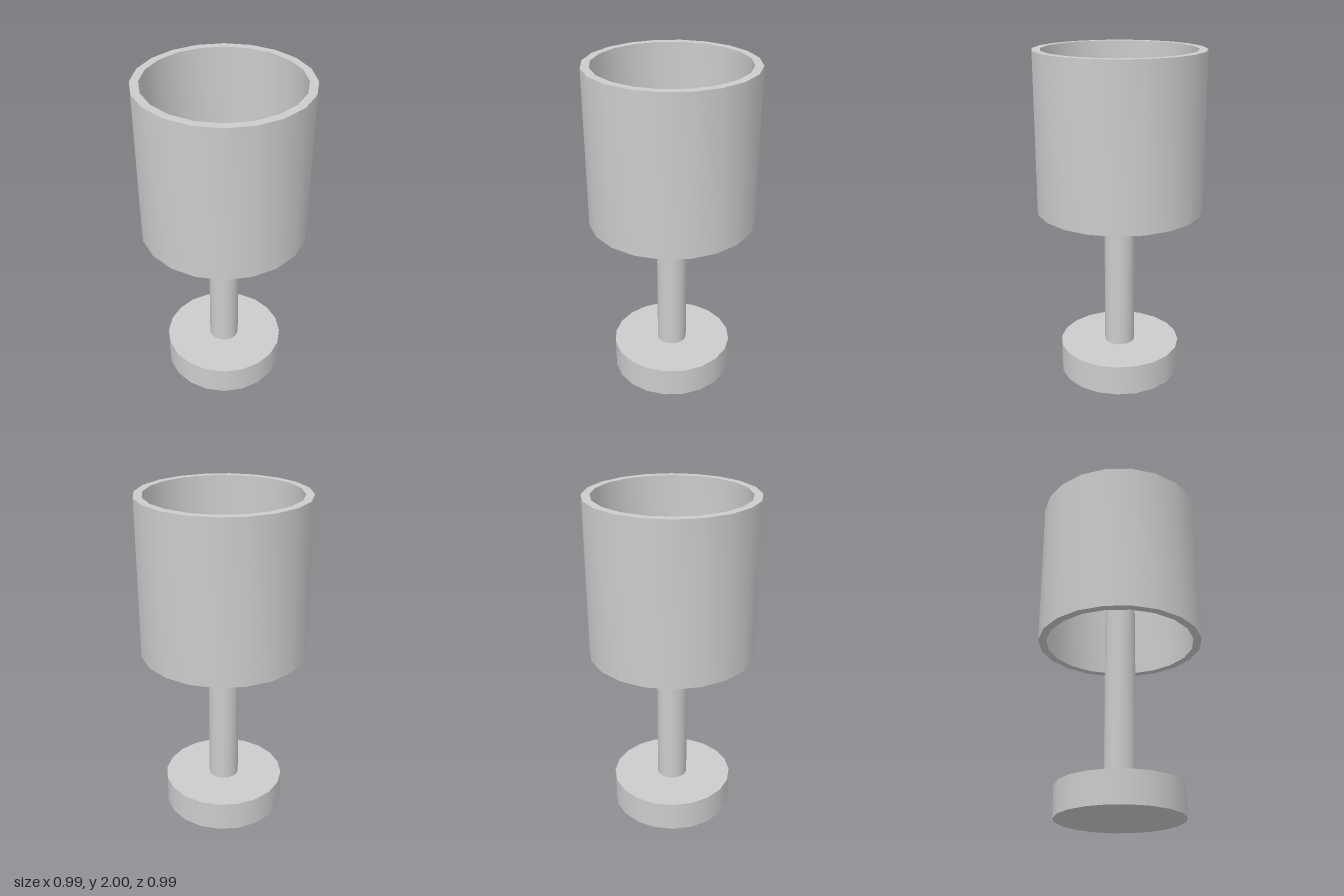
import * as THREE from 'three';
import { toCreasedNormals } from 'three/addons/utils/BufferGeometryUtils.js';

const SIDES = 20;

export function createModel() {
  const group = new THREE.Group();
  const material = new THREE.MeshStandardMaterial({ color: 0xcccccc });

  const add = (name, geometry, y = 0) => {
    const mesh = new THREE.Mesh(geometry, material);
    mesh.name = name;
    mesh.position.y = y;
    group.add(mesh);
  };

  // Solid cylinder standing between two heights
  const addCylinder = (name, radius, bottom, top) =>
    add(name, new THREE.CylinderGeometry(radius, radius, top - bottom, SIDES), (bottom + top) / 2);

  addCylinder('base', 0.37, 0, 0.185);
  addCylinder('pole', 0.092, 0.185, 1.53);

  // Thick-walled lampshade, open at both ends
  const outer = 0.495, inner = 0.447, bottom = 1.063, top = 2;
  const profile = [
    [outer, bottom], [outer, top], [inner, top], [inner, bottom], [outer, bottom],
  ].map(([r, y]) => new THREE.Vector2(r, y));
  add('lampshade', toCreasedNormals(new THREE.LatheGeometry(profile, SIDES), 0.7));

  return group;
}
